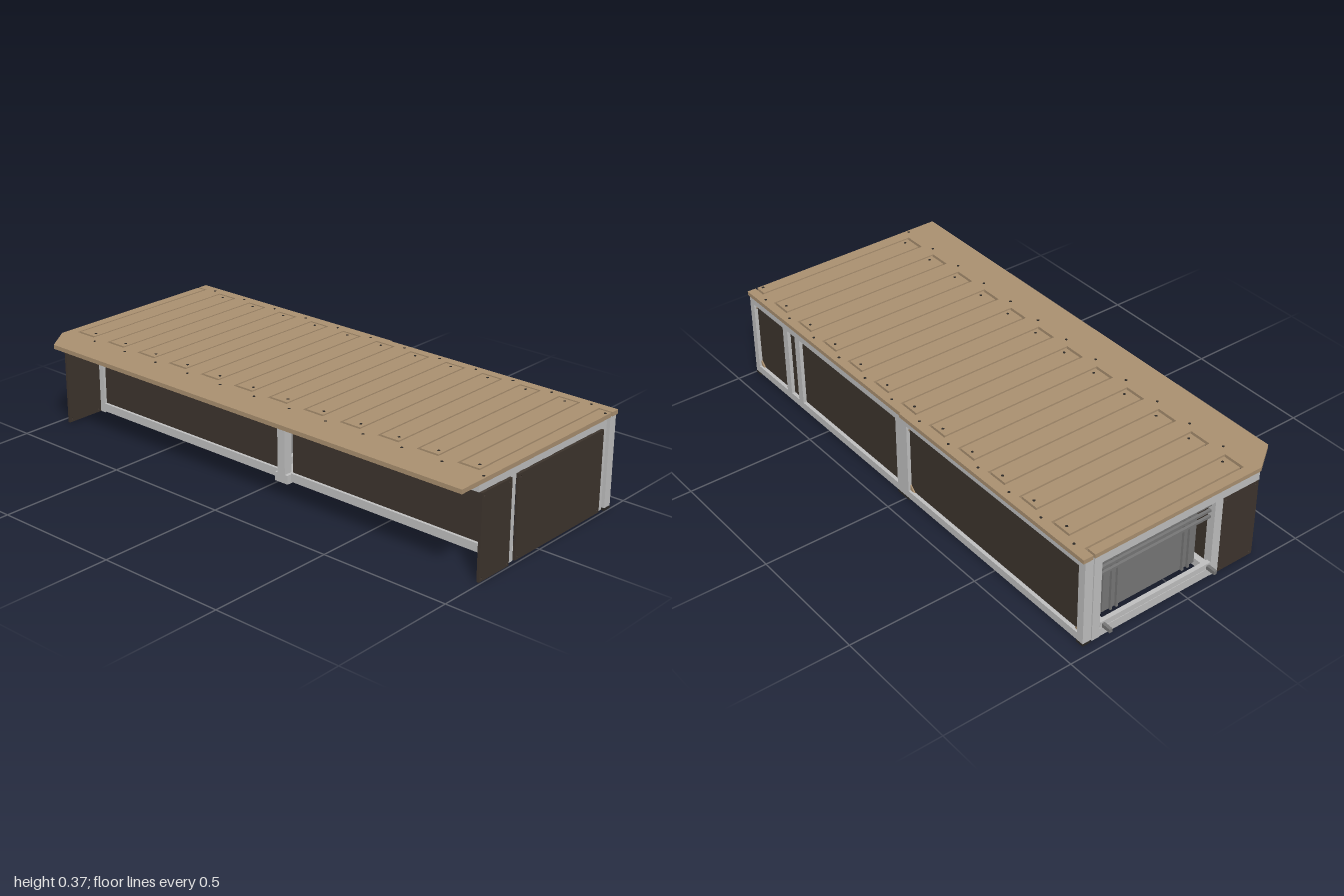
import * as THREE from 'three';

const mat = (name, color, side = THREE.FrontSide) => {
  const m = new THREE.MeshStandardMaterial({ color, side });
  m.name = name;
  return m;
};

export function createModel() {
  const root = new THREE.Group();
  root.name = 'slattedBedPlatform';
  const wood = mat('lightWood', 0xaa9070);
  const dark = mat('darkPanel', 0x3d342d);
  const metal = mat('lightMetal', 0xc0c0c0);
  const grey = mat('greyMetal', 0x777777);
  const black = mat('fastener', 0x2b2825);

  const add = (name, geo, m) => {
    const mesh = new THREE.Mesh(geo, m);
    mesh.name = name;
    root.add(mesh);
    return mesh;
  };
  const box = (name, m, x0, x1, y0, y1, z0, z1) =>
    add(name, new THREE.BoxGeometry(x1 - x0, y1 - y0, z1 - z0), m)
      .position.set((x0 + x1) / 2, (y0 + y1) / 2, (z0 + z1) / 2);

  // Two interlocking slatted top plates
  const line = i => -0.925 + i * 0.0815, g = 0.0035;
  const plate = (name, pts) => {
    const shape = new THREE.Shape(pts.map(p => new THREE.Vector2(...p)));
    const geo = new THREE.ExtrudeGeometry(shape, { depth: 0.016, bevelEnabled: false });
    geo.rotateX(Math.PI / 2).translate(0, 0.366, 0);
    add(name, geo, wood);
  };
  const left = [[-0.435, -0.89], [-0.33, -0.965], [0.383, -0.965]];
  const right = [[0.391, -0.965], [0.43, -0.965], [0.43, 0.01], [0.425, 0.01], [0.425, 1], [0.391, 1]];
  for (let i = 0; i < 24; i += 2) {
    const a = line(i), b = line(i + 1), j = 22 - i, c = line(j), d = line(j + 1);
    left.push([0.383, a - g], [-0.285, a - g], [-0.285, b + g], [0.383, b + g]);
    right.push([0.391, d - g], [-0.274, d - g], [-0.274, c + g], [0.391, c + g]);
  }
  left.push([0.383, 1], [-0.435, 1]);
  plate('fixedSlats', left);
  plate('slidingSlats', right);

  // Screws along the slats
  const screw = new THREE.CylinderGeometry(0.005, 0.005, 0.002, 10);
  for (let i = 0; i < 24; i += 2) {
    const mid = line(i) + 0.04;
    for (const [x, z] of [[-0.31, mid + 0.08], [-0.25, mid + 0.02], [0.365, mid + 0.08], [0.402, mid]])
      add('slatScrew', screw, black).position.set(x, 0.3661, z);
  }

  // Panels in the front and back planes, with holes in the corners
  const panel = (name, x0, x1, y0, y1, z) => {
    const s = new THREE.Shape();
    s.moveTo(x0, y0).lineTo(x1, y0).lineTo(x1, y1).lineTo(x0, y1).closePath();
    for (const x of [x0 + 0.012, x1 - 0.012])
      for (const y of [y0 + 0.012, y1 - 0.012])
        s.holes.push(new THREE.Path().absarc(x, y, 0.004, 0, Math.PI * 2, true));
    const geo = new THREE.ExtrudeGeometry(s, { depth: 0.01, bevelEnabled: false, curveSegments: 8 });
    add(name, geo, dark).position.z = z;
  };
  panel('frontSideWing', -0.325, -0.167, 0.003, 0.315, 0.987);
  panel('frontPanel', -0.133, 0.35, 0.008, 0.315, 0.987);
  panel('backSideWing', -0.325, -0.167, 0.003, 0.315, -0.963);

  // End frames and middle frame
  for (const [z0, z1] of [[0.952, 0.986], [-0.962, -0.93]]) {
    box('endTopRail', metal, -0.328, 0.382, 0.315, 0.349, z0, z1);
    box('endBottomRail', metal, -0.167, 0.382, 0.005, 0.038, z0, z1);
    box('endLeftPost', metal, -0.167, -0.133, 0.003, 0.316, z0, z1);
    box('endRightPost', metal, 0.35, 0.382, 0.003, 0.316, z0, z1);
  }
  box('middleTopRail', metal, -0.328, 0.385, 0.315, 0.349, -0.01, 0.045);
  box('middleBottomRail', metal, -0.185, 0.385, 0.002, 0.036, -0.012, 0.048);
  box('middleLeftPost', metal, -0.185, -0.15, 0.002, 0.316, 0.0, 0.035);

  // Right side frame: rails, posts and feet
  box('rightTopRail', metal, 0.386, 0.42, 0.32, 0.349, -0.962, 0.996);
  box('rightBottomRail', metal, 0.386, 0.42, 0.01, 0.04, -0.962, 0.996);
  for (const [z0, z1] of [[0.97, 0.996], [0.74, 0.77], [0.66, 0.69], [-0.015, 0.05], [-0.962, -0.932]])
    box('rightPost', metal, 0.386, 0.42, 0.04, 0.32, z0, z1);
  for (const [z0, z1] of [[0.968, 0.996], [-0.015, 0.05], [-0.962, -0.93]])
    box('foot', black, 0.386, 0.42, 0, 0.01, z0, z1);

  // Right side panels and wooden corner gussets
  for (const [z0, z1] of [[0.77, 0.97], [0.69, 0.74], [0.05, 0.66], [-0.932, -0.015]])
    box('rightPanel', dark, 0.394, 0.406, 0.04, 0.32, z0, z1);
  const tri = new THREE.Shape([[0, 0], [0.022, 0], [0, 0.022]].map(p => new THREE.Vector2(...p)));
  const gusset = new THREE.ExtrudeGeometry(tri, { depth: 0.006, bevelEnabled: false });
  gusset.translate(0, 0, -0.003);
  for (const [z0, z1] of [[0.77, 0.97], [-0.932, -0.015]])
    [[z1, 0.04, 1, 0], [z0, 0.04, -1, 0], [z1, 0.32, 1, 1], [z0, 0.32, -1, 1]].forEach(([z, y, s, top]) => {
      const m = add('cornerGusset', gusset, wood);
      m.position.set(0.408, y, z);
      m.rotation.order = 'YXZ';
      m.rotation.set(0, s * Math.PI / 2, 0);
      if (top) m.rotation.x = Math.PI;
    });

  // Left side wall and rails
  for (const [z0, z1] of [[-0.93, -0.012], [0.048, 0.952]]) {
    box('leftBottomRail', metal, -0.167, -0.133, 0.008, 0.04, z0, z1);
    box('leftTopRail', metal, -0.167, -0.133, 0.316, 0.349, z0, z1);
    box('leftPanel', dark, -0.156, -0.144, 0.04, 0.316, z0, z1);
  }

  // Storage drawer in the back half: three floor plates in a frame
  for (let i = 0; i < 3; i++)
    box('drawerFloor', grey, -0.085, 0.335, 0.03, 0.04, -0.9 + i * 0.285, -0.62 + i * 0.285);
  for (const x of [-0.12, 0.335]) {
    box('drawerRunner', metal, x - 0.012, x + 0.012, 0.025, 0.055, -0.955, -0.03);
    box('drawerHandle', grey, x - 0.006, x + 0.006, 0.04, 0.055, -1, -0.955);
  }
  box('drawerFrontRail', metal, -0.132, 0.348, 0.04, 0.062, -0.962, -0.945);
  box('drawerInnerRail', metal, -0.108, 0.323, 0.025, 0.055, -0.045, -0.025);

  // Back of the drawer with its rods
  box('drawerBackPlate', grey, -0.09, 0.31, 0.06, 0.285, -0.925, -0.915);
  for (const y of [0.24, 0.265, 0.29])
    box('backRod', grey, -0.133, 0.35, y, y + 0.009, -0.945, -0.935);
  for (const x of [-0.06, -0.035, 0.25, 0.275])
    box('backUpright', grey, x, x + 0.008, 0.06, 0.3, -0.935, -0.925);

  return root;
}
